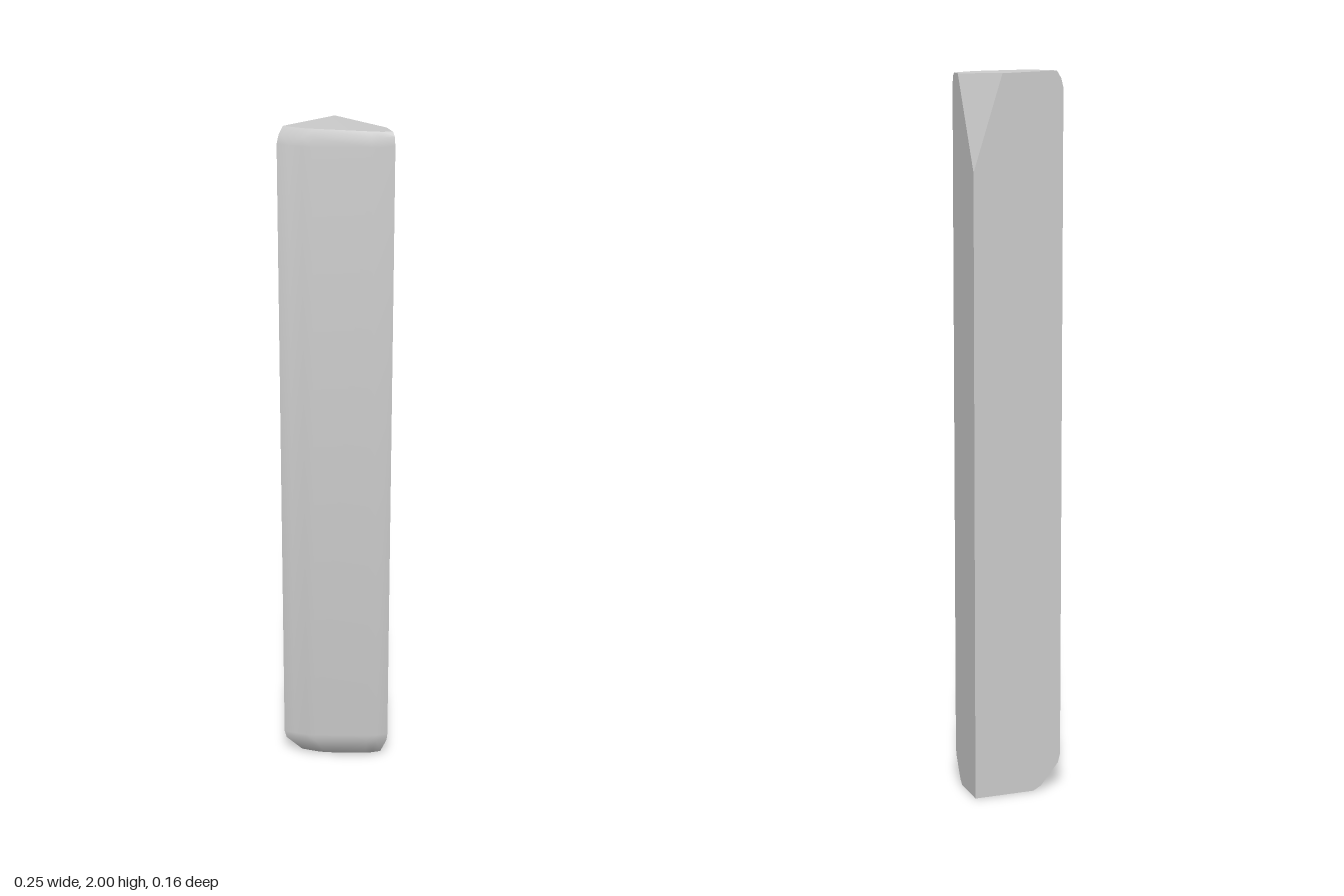
import * as THREE from 'three';
import { ConvexGeometry } from 'three/addons/geometries/ConvexGeometry.js';
import { toCreasedNormals } from 'three/addons/utils/BufferGeometryUtils.js';

// Square back corner of the wedge; each ring shrinks towards it.
const CORNER = { x: 0.126, z: -0.084 };

// Curved front of the wedge, seen from above (x, z).
const FRONT = [
  [-0.126, -0.084], [-0.105, -0.061], [-0.08, -0.036], [-0.06, -0.021],
  [0.07, 0.059], [0.095, 0.071], [0.126, 0.081],
];

// Height and scale of each ring: chamfered foot, straight shaft, rounded top.
const RINGS = [
  [0, 0.68], [0.012, 0.77], [0.075, 0.975], [0.1, 1],
  [1.955, 1], [1.98, 0.975], [2, 0.925],
];

// The top face dips slightly towards +x.
const topHeight = (x) => 2 - 0.01 * Math.max(0, x / 0.126);

function createBar() {
  const points = [];
  for (const [y, s] of RINGS) {
    for (const [px, pz] of FRONT) {
      const x = CORNER.x + (px - CORNER.x) * s;
      const z = CORNER.z + (pz - CORNER.z) * s;
      points.push(new THREE.Vector3(x, y === 2 ? topHeight(x) : y, z));
    }
  }
  // Back corner edge, cut off at the top by a sloping triangular facet.
  points.push(
    new THREE.Vector3(CORNER.x, 0, CORNER.z),
    new THREE.Vector3(CORNER.x, 1.74, CORNER.z),
    new THREE.Vector3(0.045, topHeight(0.045), CORNER.z),
    new THREE.Vector3(CORNER.x, topHeight(CORNER.x), 0.038),
  );
  return toCreasedNormals(new ConvexGeometry(points), 0.5);
}

export function createModel() {
  const group = new THREE.Group();
  group.name = 'wedgeBar';
  const bar = new THREE.Mesh(createBar(), new THREE.MeshStandardMaterial({ color: 0xcccccc }));
  bar.name = 'bar';
  group.add(bar);
  return group;
}
